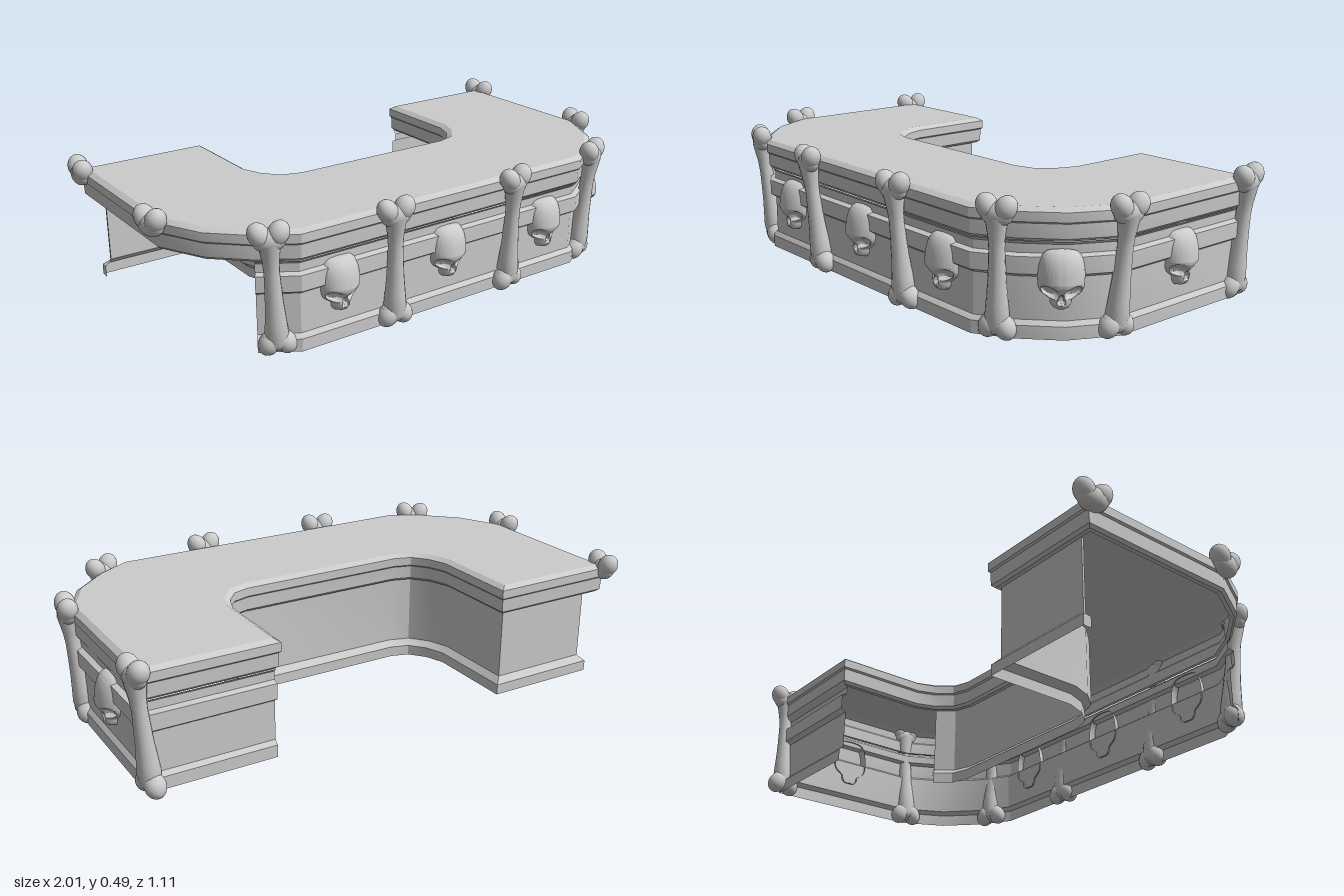
import * as THREE from 'three';
import { toCreasedNormals } from 'three/addons/utils/BufferGeometryUtils.js';

const material = new THREE.MeshStandardMaterial({ color: 0xcccccc, side: THREE.DoubleSide });

// Half of the U-shaped outline as [x, z], from the front, round the outside, to the inner curve
const HALF = [[.62, .485], [.75, .405], [.87, .29], [.955, .12], [.955, -.505],
  [.455, -.505], [.455, -.15], [.43, -.08], [.385, -.025], [.32, -.005]];
const mirrored = HALF.map(([x, z]) => [-x, z]).reverse();
const OUTLINE = [...HALF, ...mirrored];

function mesh(name, geometry) {
  const m = new THREE.Mesh(geometry, material);
  m.name = name;
  return m;
}

// Moves a path outward by d with mitred corners
function offsetPath(path, d, closed) {
  const n = path.length;
  const normal = (i) => {
    const a = path[(i + n) % n], b = path[(i + 1 + n) % n];
    const l = Math.hypot(b[0] - a[0], b[1] - a[1]);
    return [-(b[1] - a[1]) / l, (b[0] - a[0]) / l];
  };
  return path.map(([x, z], i) => {
    const p = normal(closed || i > 0 ? i - 1 : i);
    const q = normal(closed || i < n - 1 ? i : i - 1);
    const k = d / (1 + p[0] * q[0] + p[1] * q[1]);
    return [x + (p[0] + q[0]) * k, z + (p[1] + q[1]) * k];
  });
}

// Sweeps a moulding profile of [outward offset, height], top to bottom, along a path
function sweep(path, profile, closed) {
  const rows = profile.map(([d]) => offsetPath(path, d, closed));
  const positions = [];
  const n = path.length;
  for (let i = 0; i < (closed ? n : n - 1); i++) {
    for (let j = 0; j < profile.length - 1; j++) {
      const at = (r, k) => [rows[r][k % n][0], profile[r][1], rows[r][k % n][1]];
      const a = at(j, i), b = at(j + 1, i), c = at(j + 1, i + 1), d = at(j, i + 1);
      positions.push(...a, ...b, ...c, ...a, ...c, ...d);
    }
  }
  const g = new THREE.BufferGeometry();
  g.setAttribute('position', new THREE.Float32BufferAttribute(positions, 3));
  return toCreasedNormals(g, 0.5);
}

// Flat face filling the outline
function topFace(inset, y) {
  const points = offsetPath(OUTLINE, -inset, true).map(([x, z]) => new THREE.Vector2(x, -z));
  return new THREE.ShapeGeometry(new THREE.Shape(points)).rotateX(-Math.PI / 2).translate(0, y, 0);
}

function lathe(points) {
  return new THREE.LatheGeometry(points.map(([r, y]) => new THREE.Vector2(r, y)), 16);
}

// Bone leaning from bottom to top [x, z]; a stub keeps only the upper end
function bone(top, bottom, angle, stub = false) {
  const g = new THREE.Group();
  g.name = stub ? 'boneEnd' : 'bone';
  const up = new THREE.Vector3(top[0] - bottom[0], .45, top[1] - bottom[1]).normalize();
  const right = up.clone().cross(new THREE.Vector3(Math.sin(angle), 0, Math.cos(angle))).normalize();
  g.quaternion.setFromRotationMatrix(
    new THREE.Matrix4().makeBasis(right, up, right.clone().cross(up)));
  g.position.set(bottom[0], 0, bottom[1]);
  if (!stub) {
    g.add(mesh('shaft', lathe([[.036, .05], [.04, .085], [.036, .13], [.031, .19], [.028, .25],
      [.026, .31], [.028, .35], [.034, .39], [.038, .42]])));
  }
  const ball = (name, x, y, scale, tilt) => {
    const k = mesh(name, new THREE.SphereGeometry(1, 18, 14));
    k.position.set(x, y, 0);
    k.scale.set(...scale);
    k.rotation.z = tilt;
    g.add(k);
  };
  // Bean-shaped end: a wide core with two lobes leaning outward
  const end = (coreY, lobeY, x, lean) => {
    ball('boneHead', 0, coreY, [.056, .041, .036], 0);
    for (const side of [-1, 1]) ball('knuckle', side * x, lobeY, [.036, .044, .037], side * lean);
  };
  end(.427, .448, .031, -.5);
  if (!stub) end(.057, .046, .027, .5);
  return g;
}

// Skull cross-sections: height, half width, depth
const SKULL = [[.12, 0, 0], [.121, .022, .03], [.135, .034, .044], [.15, .036, .046], [.16, .048, .046],
  [.172, .064, .048], [.19, .073, .06], [.205, .074, .066], [.225, .075, .064], [.25, .073, .06],
  [.275, .068, .052], [.295, .058, .04], [.306, .044, .026], [.311, 0, 0]];

// Front half of a skull, open against the wall
function skullGeometry() {
  const curve = new THREE.CatmullRomCurve3(SKULL.map((p) => new THREE.Vector3(...p)), false, 'centripetal');
  const g = new THREE.PlaneGeometry(1, 1, 56, 64);
  const pos = g.attributes.position;
  for (let i = 0; i < pos.count; i++) {
    const a = pos.getX(i) * Math.PI;
    const p = curve.getPoint(THREE.MathUtils.clamp(pos.getY(i) + .5, 0, 1));
    const x = Math.sin(a) * Math.max(p.y, 0);
    const ax = Math.abs(x);
    // Slanted eye sockets, nose hole and tooth grooves
    const dent = (cx, cy, rx, ry, slant) => {
      const u = (ax - cx) / rx, v = (p.x - cy - slant * (ax - cx)) / ry;
      return Math.exp(-((u * u + v * v) ** 3));
    };
    let z = Math.cos(a) * Math.max(p.z, 0);
    z -= Math.min(z, .03 * dent(.036, .18, .026, .018, .3) + .02 * dent(0, .157, .011, .015, -.8));
    if (p.x < .142) z -= .003 * (1 + Math.cos(ax * 420)) / 2;
    pos.setXYZ(i, x, p.x, z);
  }
  return toCreasedNormals(g, 0.8);
}

export function createModel() {
  const model = new THREE.Group();
  model.name = 'barCounter';

  // Countertop: bevelled edge with a lip back to the walls, open below
  const top = new THREE.Group();
  top.name = 'countertop';
  top.add(mesh('edge', sweep(OUTLINE, [[-.022, .445], [-.002, .432], [-.002, .4], [-.008, .394],
    [-.01, .345], [-.02, .335], [-.035, .335]], true)));
  top.add(mesh('topFace', topFace(.022, .445)));
  model.add(top);

  // Outer wall with trim and plinth, from the front corner round to the left end
  model.add(mesh('outerWall', sweep(
    [[-.75, .405], ...mirrored.slice(-1), ...HALF.slice(0, 5), [.47, -.505]],
    [[-.015, .335], [-.03, .322], [-.03, .292], [-.01, .285], [-.01, .228], [-.03, .215],
      [-.03, .07], [-.015, .055], [-.015, .01]], false)));

  // Plain inner wall, continuing round the right end with a short return
  model.add(mesh('innerWall', sweep(
    [[.43, -.08], ...HALF.slice(8), ...mirrored.slice(0, 4), [-.455, -.505], [-.917, -.505], [-.917, -.462]],
    [[-.035, .335], [-.035, .072], [-.012, .05], [-.012, .01]], false)));

  // Bones: top, bottom, facing angle, end only
  const bones = [
    [[-.72, .45], [-.68, .42], -.43], [[-.27, .512], [-.243, .475], -.15],
    [[.262, .512], [.275, .475], .15], [[.715, .45], [.69, .42], .43],
    [[.963, .12], [.92, .122], 1.4], [[.957, -.488], [.92, -.485], 1.7],
    [[-.963, .115], [-.925, .125], -1.4, true], [[-.957, -.488], [-.925, -.485], -1.7, true],
  ];
  for (const b of bones) model.add(bone(...b));

  // Skulls: x, z, facing angle
  const skull = skullGeometry();
  for (const [x, z, angle] of [[-.46, .45, 0], [0, .45, 0], [.465, .45, 0],
    [.838, .287, .85], [.918, -.178, Math.PI / 2]]) {
    const s = mesh('skull', skull);
    s.position.set(x, 0, z);
    s.rotation.y = angle;
    model.add(s);
  }
  return model;
}
